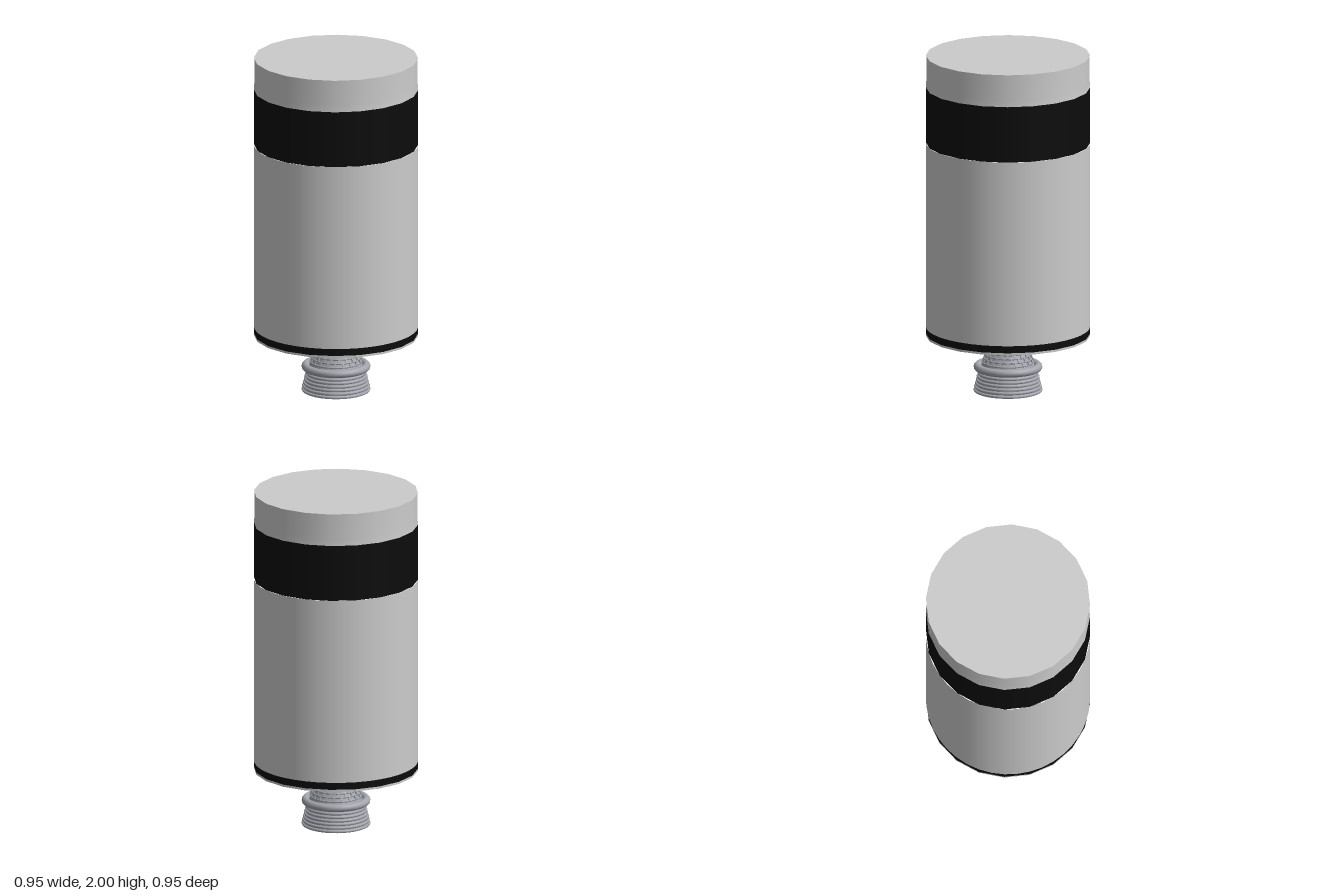
import * as THREE from 'three';
import { mergeGeometries } from 'three/addons/utils/BufferGeometryUtils.js';

const R = 0.475;
const grey = new THREE.MeshStandardMaterial({ color: 0xcccccc });
const black = new THREE.MeshStandardMaterial({ color: 0x0c0c0c });
const metal = new THREE.MeshStandardMaterial({ color: 0xa4a6ae });
const bellMetal = new THREE.MeshStandardMaterial({ color: 0xa4a6ae, side: THREE.DoubleSide });

function add(group, name, geometry, material) {
  const mesh = new THREE.Mesh(geometry, material);
  mesh.name = name;
  group.add(mesh);
}

// Cylinder section between two heights
function section(y0, y1, sides, open = true) {
  return new THREE.CylinderGeometry(R, R, y1 - y0, sides, 1, open).translate(0, (y0 + y1) / 2, 0);
}

function ring(radius, tube, y, sides = 8) {
  return new THREE.TorusGeometry(radius, tube, sides, 32).rotateX(Math.PI / 2).translate(0, y, 0);
}

function disc(y, up) {
  return new THREE.CircleGeometry(R, 20, Math.PI / 2).rotateX(up ? -Math.PI / 2 : Math.PI / 2).translate(0, y, 0);
}

export function createModel() {
  const model = new THREE.Group();
  model.name = 'rocketStage';

  // Tank: stacked painted sections with flat ends
  const tank = new THREE.Group();
  tank.name = 'tank';
  add(tank, 'topCap', disc(2, true), grey);
  add(tank, 'topBand', new THREE.LatheGeometry([
    new THREE.Vector2(R, 1.81), new THREE.Vector2(R - 0.003, 1.85), new THREE.Vector2(R - 0.003, 1.99),
    new THREE.Vector2(R - 0.003, 2),
  ], 20), grey);
  add(tank, 'wideBlackBand', section(1.48, 1.81, 20), black);
  add(tank, 'tankWall', section(0.385, 1.48, 40), grey);
  add(tank, 'narrowBlackBand', section(0.343, 0.385, 20), black);
  add(tank, 'baseRim', section(0.33, 0.343, 20), grey);
  add(tank, 'baseCap', disc(0.33, false), grey);
  model.add(tank);

  // Engine: open bell with rings and staggered ribs
  const engine = new THREE.Group();
  engine.name = 'engine';
  const profile = [[0.192, 0], [0.187, 0.03], [0.175, 0.08], [0.162, 0.13], [0.145, 0.18],
    [0.122, 0.235], [0.098, 0.29], [0.082, 0.33]].map(([x, y]) => new THREE.Vector2(x, y));
  add(engine, 'bell', new THREE.LatheGeometry(profile, 32), bellMetal);

  const radiusAt = (y) => {
    const i = Math.max(1, profile.findIndex((p) => p.y >= y));
    const a = profile[i - 1], b = profile[i];
    return a.x + (b.x - a.x) * (y - a.y) / (b.y - a.y);
  };

  add(engine, 'collar', ring(0.176, 0.023, 0.146, 12), metal);
  const lower = [];
  for (let i = 0; i < 6; i++) {
    const y = 0.009 + i * 0.02;
    lower.push(ring(radiusAt(y), 0.009, y));
  }
  add(engine, 'lowerRings', mergeGeometries(lower), metal);

  const upper = [], ribs = [];
  const rows = 7, step = 0.022, count = 20;
  for (let i = 0; i < rows; i++) {
    const y = 0.175 + i * step;
    upper.push(ring(radiusAt(y), 0.006, y));
    if (i === rows - 1) continue;
    const mid = y + step / 2;
    for (let k = 0; k < count; k++) {
      const angle = (k + (i % 2) / 2) * Math.PI * 2 / count;
      ribs.push(new THREE.BoxGeometry(0.008, step, 0.012)
        .rotateX(-0.42).translate(0, mid, radiusAt(mid) + 0.001).rotateY(angle));
    }
  }
  add(engine, 'upperRings', mergeGeometries(upper), metal);
  add(engine, 'coolingRibs', mergeGeometries(ribs), metal);
  model.add(engine);

  return model;
}
